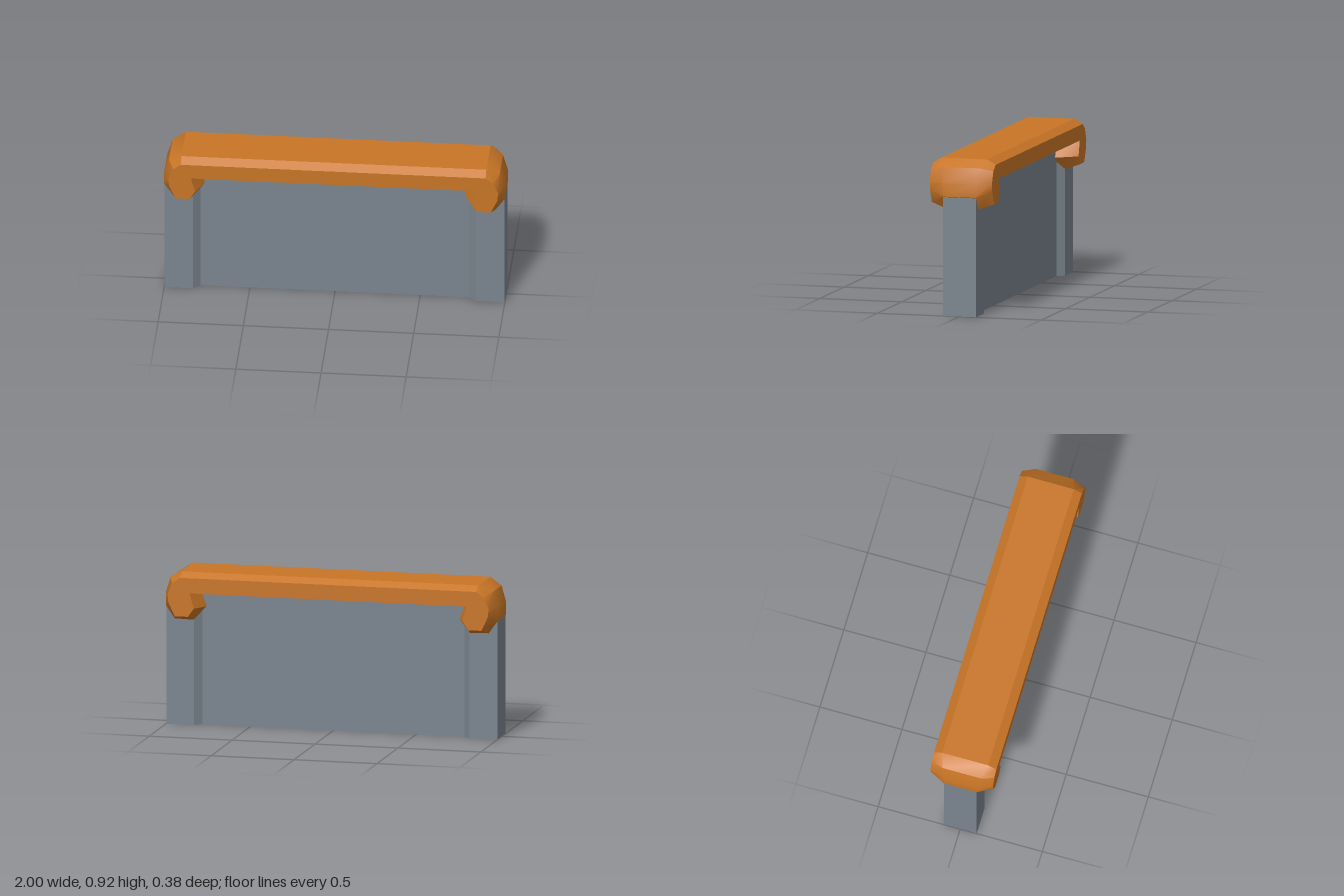
import * as THREE from 'three';
import { toCreasedNormals } from 'three/addons/utils/BufferGeometryUtils.js';

const orange = new THREE.MeshStandardMaterial({ color: 0xc87526 });
orange.name = 'orange';
const grey = new THREE.MeshStandardMaterial({ color: 0x7a848e, side: THREE.DoubleSide });
grey.name = 'slate grey';

const quad = (out, a, b, c, d) => out.push(...a, ...b, ...c, ...a, ...c, ...d);

function toGeometry(positions) {
  const g = new THREE.BufferGeometry();
  g.setAttribute('position', new THREE.Float32BufferAttribute(positions, 3));
  g.computeVertexNormals();
  return g;
}

// Joins matching loops of points with side faces
function joinLoops(out, from, to) {
  from.forEach((a, i) => {
    const j = (i + 1) % from.length;
    quad(out, a, to[i], to[j], from[j]);
  });
}

// Cap with curled ends: a bevelled slab lofted through four outlines
function capGeometry() {
  // half outlines from the underside, round the curl, to the top
  const face = [[0.835, 0.80], [0.81, 0.71], [0.845, 0.66], [0.925, 0.66],
    [0.963, 0.74], [0.968, 0.79], [0.94, 0.858], [0.895, 0.89]].map(([x, y]) => [x, y, 0.19]);
  const middle = [[0.79, 0.775, 0.06], [0.765, 0.705, 0.08], [0.834, 0.627, 0.1], [0.947, 0.63, 0.1],
    [1, 0.705, 0.1], [1, 0.785, 0.1], [0.97, 0.876, 0.115], [0.895, 0.92, 0.14]];
  const mirrorX = half => [...half, ...half.map(([x, y, z]) => [-x, y, z]).reverse()];
  const flipZ = loop => loop.map(([x, y, z]) => [x, y, -z]);
  const front = mirrorX(face), frontMid = mirrorX(middle);
  const loops = [front, frontMid, flipZ(frontMid), flipZ(front)];

  const out = [];
  for (let i = 0; i < 3; i++) joinLoops(out, loops[i], loops[i + 1]);
  // front and back faces
  const contour = front.map(([x, y]) => new THREE.Vector2(x, y));
  for (const [a, b, c] of THREE.ShapeUtils.triangulateShape(contour, [])) {
    out.push(...front[a], ...front[b], ...front[c]);
    out.push(...loops[3][a], ...loops[3][c], ...loops[3][b]);
  }
  return toCreasedNormals(toGeometry(out), 0.5);
}

// Wall panel with a thicker post at each end, open underneath
function wallGeometry() {
  const quarter = [[0.79, 0.06], [0.83, 0.1], [0.998, 0.1]];
  const right = [...quarter, ...quarter.map(([x, z]) => [x, -z]).reverse()];
  const plan = [...right, ...right.map(([x, z]) => [-x, -z])];
  const level = y => plan.map(([x, z]) => [x, y, z]);
  const out = [];
  joinLoops(out, level(0.78), level(0));
  return toGeometry(out);
}

export function createModel() {
  const model = new THREE.Group();
  model.name = 'cappedWall';
  const add = (name, geometry, material) => {
    const mesh = new THREE.Mesh(geometry, material);
    mesh.name = name;
    model.add(mesh);
  };
  add('wallWithPosts', wallGeometry(), grey);
  add('curledCap', capGeometry(), orange);
  return model;
}
